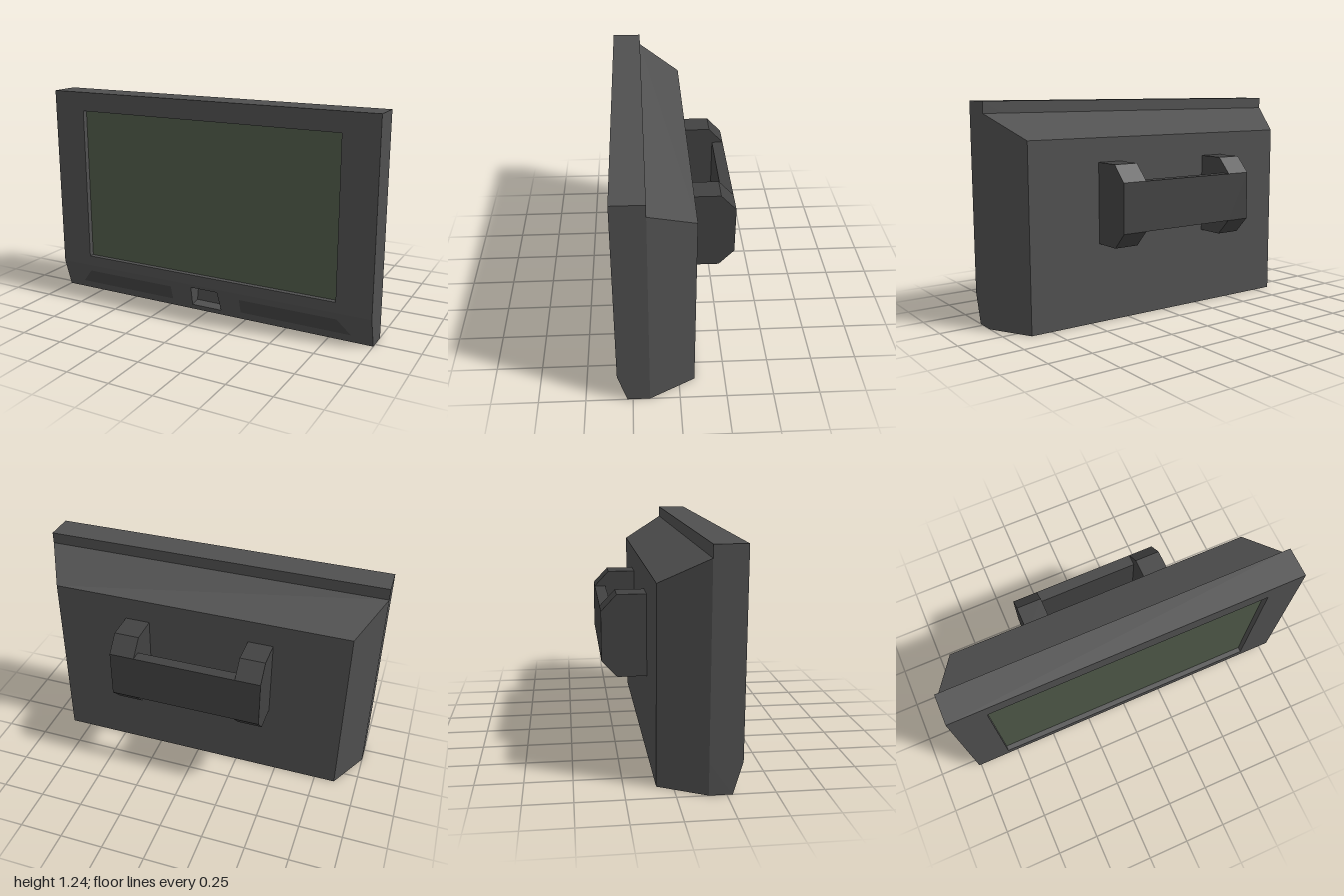
import * as THREE from 'three';

const material = (color, side = THREE.FrontSide) =>
  new THREE.MeshStandardMaterial({ color, side, flatShading: true });
const body = material(0x505050);
const dark = material(0x424242);
const glass = material(0x4f5a49);

// Four corners, counter-clockwise from the front; z may depend on y.
function ring(x0, x1, y0, y1, z, topX0 = x0, topX1 = x1) {
  const at = typeof z === 'function' ? z : () => z;
  return [[x0, y0], [x1, y0], [topX1, y1], [topX0, y1]].map(([x, y]) => [x, y, at(y)]);
}

// Walls joining two rings, with optional caps at either end.
function loft(a, b, capA = false, capB = false) {
  const points = [];
  for (let i = 0; i < 4; i++) {
    const j = (i + 1) % 4;
    points.push(a[i], a[j], b[j], a[i], b[j], b[i]);
  }
  if (capA) points.push(a[0], a[2], a[1], a[0], a[3], a[2]);
  if (capB) points.push(b[0], b[1], b[2], b[0], b[2], b[3]);
  const geometry = new THREE.BufferGeometry();
  geometry.setAttribute('position', new THREE.Float32BufferAttribute(points.flat(), 3));
  geometry.computeVertexNormals();
  return geometry;
}

const outline = (corners) => corners.map(([x, y]) => new THREE.Vector2(x, y));

// Flat face with an optional hole, laid onto the surface z(y).
function face(outer, hole, z) {
  const shape = new THREE.Shape(outline(outer));
  if (hole) shape.holes.push(new THREE.Path(outline(hole)));
  const geometry = new THREE.ShapeGeometry(shape);
  const p = geometry.attributes.position;
  for (let i = 0; i < p.count; i++) p.setZ(i, z(p.getY(i)));
  geometry.computeVertexNormals();
  return geometry;
}

export function createModel() {
  const model = new THREE.Group();
  const add = (name, geometry, mat, parent = model) => {
    const mesh = new THREE.Mesh(geometry, mat);
    mesh.name = name;
    parent.add(mesh);
    return mesh;
  };
  const frontZ = 0.33, backZ = 0.16, chinTop = 0.17;
  const chinZ = (y) => 0.28 + (0.05 * y) / chinTop;

  // Bezel shell and its face around the screen
  const bezel = new THREE.Group();
  bezel.name = 'bezel';
  model.add(bezel);
  const bezelFront = ring(-1, 1, chinTop, 1.24, frontZ);
  const opening = ring(-0.8, 0.8, 0.23, 1.13, frontZ);
  const screenRing = ring(-0.8, 0.8, 0.23, 1.13, 0.3);
  add('bezelShell', loft(ring(-1, 1, chinTop, 1.24, backZ), bezelFront, true), body, bezel);
  add('bezelFace', face(bezelFront, opening, () => frontZ), body, bezel);
  add('screenReveal', loft(opening, screenRing), body, bezel);
  add('screen', face(screenRing, null, () => 0.3), glass);

  // Sloping chin with a central pocket
  const chin = new THREE.Group();
  chin.name = 'chin';
  model.add(chin);
  const chinFront = ring(-1, 1, 0, chinTop, chinZ);
  const mouth = ring(-0.095, 0.095, 0.03, 0.15, chinZ, -0.085, 0.085);
  add('chinShell', loft(ring(-1, 1, 0, chinTop, backZ), chinFront), body, chin);
  add('chinFace', face(chinFront, mouth, chinZ), body, chin);
  add('pocket', loft(mouth, ring(-0.09, 0.09, 0.045, 0.148, 0.24, -0.08, 0.08), false, true), body, chin);

  // Speaker panels
  const panelZ = (y) => chinZ(y) + 0.002;
  add('leftSpeaker', face([[0.225, 0.045], [0.88, 0.045], [0.805, 0.13], [0.225, 0.13]], null, panelZ), dark);
  add('rightSpeaker', face([[-0.88, 0.045], [-0.225, 0.045], [-0.225, 0.13], [-0.805, 0.13]], null, panelZ), dark);

  // Tapered rear housing
  add('rearHousing', loft(ring(-0.87, 0.87, 0, 1.04, -0.085), ring(-1, 1, 0, 1.175, backZ), true), body);

  // Rear bracket: two chamfered arms and a crossbar
  const bracket = new THREE.Group();
  bracket.name = 'rearBracket';
  model.add(bracket);
  const armShape = new THREE.Shape(outline([
    [0.08, 0.45], [0.245, 0.45], [0.33, 0.54], [0.33, 0.815], [0.245, 0.905], [0.08, 0.905],
  ]));
  const arm = new THREE.ExtrudeGeometry(armShape, { depth: 0.145, bevelEnabled: false });
  arm.rotateY(Math.PI / 2);
  for (const side of [1, -1]) {
    // the profile's outward direction becomes -z
    const mesh = add(side > 0 ? 'leftArm' : 'rightArm', arm, dark, bracket);
    mesh.position.x = side > 0 ? 0.295 : -0.44;
  }
  const bar = add('crossbar', new THREE.BoxGeometry(0.59, 0.275, 0.065), dark, bracket);
  bar.position.set(0, 0.6775, -0.2975);

  return model;
}
